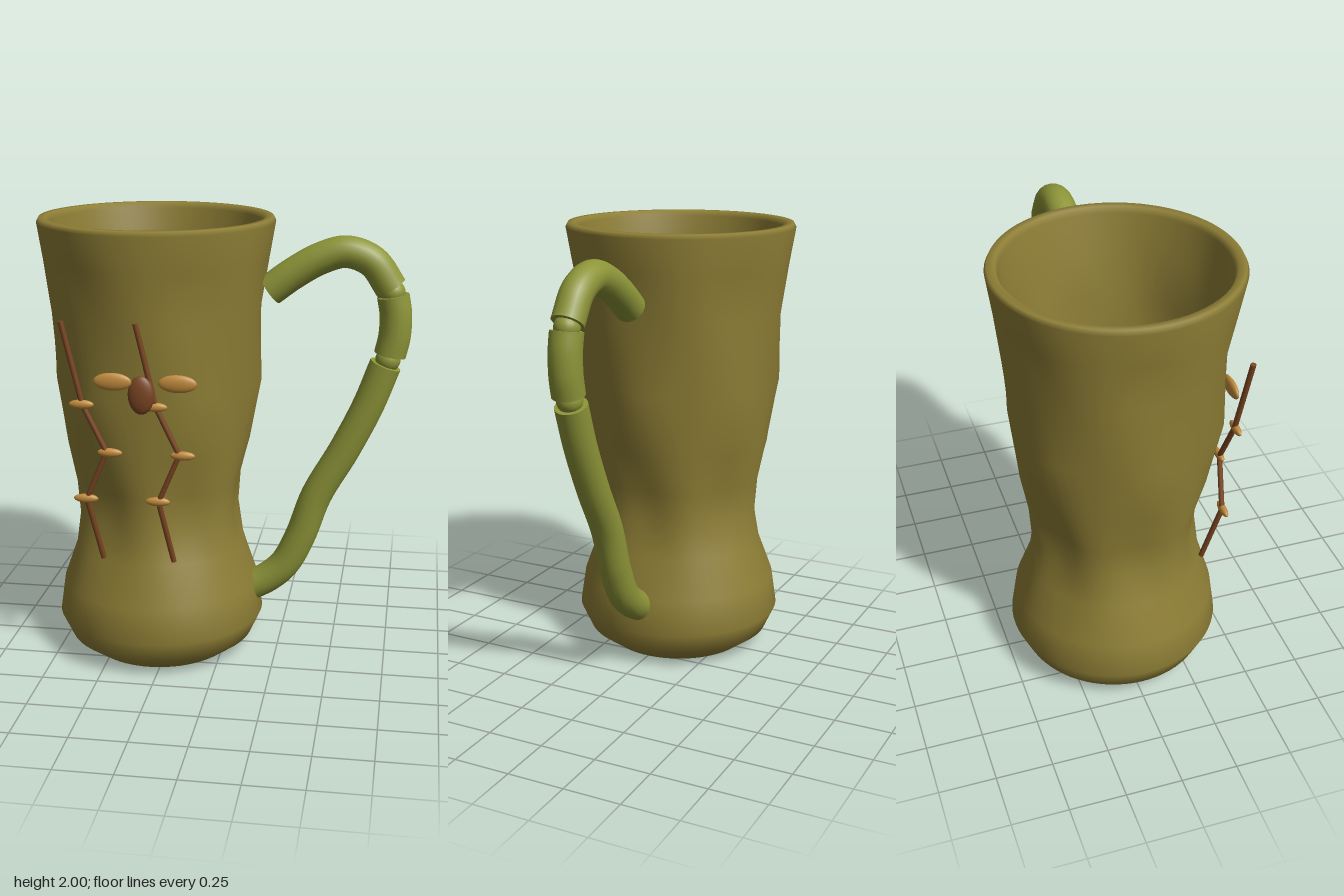
import * as THREE from 'three';
import { mergeVertices } from 'three/addons/utils/BufferGeometryUtils.js';

const V = (x, y, z = 0) => new THREE.Vector3(x, y, z);
const mat = (name, color) => {
  const m = new THREE.MeshStandardMaterial({ color });
  m.name = name;
  return m;
};

export function createModel() {
  const model = new THREE.Group();
  model.name = 'mug';
  const olive = mat('olive glaze', 0x8f7f36);
  const green = mat('handle green', 0x8d9538);
  const brown = mat('twig brown', 0x7a4522);
  const gold = mat('leaf gold', 0xc08a3c);

  const add = (parent, name, geometry, material) => {
    const mesh = new THREE.Mesh(geometry, material);
    mesh.name = name;
    parent.add(mesh);
    return mesh;
  };
  const ellipsoid = (parent, name, material, pos, size) => {
    const mesh = add(parent, name, new THREE.SphereGeometry(1, 20, 14), material);
    mesh.position.copy(pos);
    mesh.scale.set(...size);
    return mesh;
  };

  // Cup: rows of [radius, height, six-lobed ripple], up the outside and down the inside
  const rows = [
    [0, 0, 0], [0.33, 0, 0], [0.425, 0.07, 0], [0.473, 0.175, 0], [0.45, 0.33, 0],
    [0.388, 0.51, 0.006], [0.36, 0.67, 0.016], [0.372, 0.82, 0.014], [0.414, 1.0, 0.004],
    [0.452, 1.28, -0.012], [0.463, 1.6, 0.011], [0.495, 1.82, 0.003], [0.52, 1.98, 0],
    [0.51, 2.0, 0], [0.478, 2.0, 0], [0.465, 1.975, 0],
    [0.44, 1.8, 0.003], [0.408, 1.6, 0.011], [0.397, 1.28, -0.012], [0.36, 1.0, 0.004],
    [0.318, 0.82, 0.014], [0.3, 0.67, 0.019], [0.33, 0.51, 0.008], [0.39, 0.33, 0],
    [0.4, 0.2, 0], [0.33, 0.1, 0], [0, 0.08, 0],
  ];
  const segments = 72;
  let cup = new THREE.LatheGeometry(rows.map(([r, y]) => new THREE.Vector2(r, y)), segments);
  const p = cup.attributes.position;
  for (let i = 0; i <= segments; i++) {
    const a = ((i % segments) / segments) * Math.PI * 2;
    rows.forEach(([r, y, ripple], j) => {
      const R = r + ripple * Math.cos(6 * a);
      p.setXYZ(i * rows.length + j, R * Math.sin(a), y, R * Math.cos(a));
    });
  }
  cup.deleteAttribute('uv');
  cup.deleteAttribute('normal');
  cup = mergeVertices(cup);
  cup.computeVertexNormals();
  add(model, 'cup', cup, olive).position.x = -0.3;

  // Handle: three cane lengths with pinched joints
  const handle = new THREE.Group();
  handle.name = 'handle';
  model.add(handle);
  const cane = (name, points) => {
    const curve = new THREE.CatmullRomCurve3(points);
    add(handle, name, new THREE.TubeGeometry(curve, 40, 0.07, 20), green);
    for (const t of [0, 1]) {
      const cap = add(handle, name + 'End', new THREE.CircleGeometry(0.07, 20), green);
      const end = curve.getPointAt(t);
      cap.position.copy(end);
      cap.lookAt(end.clone().addScaledVector(curve.getTangentAt(t), t ? 1 : -1));
    }
  };
  cane('upperCane', [V(0.2, 1.685), V(0.3, 1.76), V(0.42, 1.83), V(0.53, 1.86), V(0.64, 1.82), V(0.725, 1.705)]);
  cane('middleCane', [V(0.733, 1.675), V(0.746, 1.6), V(0.745, 1.5), V(0.728, 1.415)]);
  cane('lowerCane', [V(0.71, 1.37), V(0.64, 1.18), V(0.54, 0.97), V(0.42, 0.75), V(0.35, 0.55),
    V(0.28, 0.41), V(0.2, 0.335), V(0.13, 0.295)]);
  for (const [x, y] of [[0.73, 1.69], [0.72, 1.392]])
    ellipsoid(handle, 'caneJoint', green, V(x, y), [0.055, 0.055, 0.055]);

  // Two zigzag twigs with a small leaf at every bend
  const path = [V(-0.615, 1.62, 0.475), V(-0.54, 1.26, 0.448), V(-0.445, 1.05, 0.432),
    V(-0.54, 0.83, 0.418), V(-0.488, 0.535, 0.356)];
  for (const dx of [0, 0.315]) {
    const twig = new THREE.Group();
    twig.name = 'twig';
    twig.position.x = dx;
    model.add(twig);
    for (let i = 0; i < path.length - 1; i++) {
      const d = path[i].clone().sub(path[i + 1]);
      const stem = add(twig, 'stem', new THREE.CylinderGeometry(0.012, 0.012, d.length(), 10), brown);
      stem.position.copy(path[i]).add(path[i + 1]).multiplyScalar(0.5);
      stem.quaternion.setFromUnitVectors(V(0, 1, 0), d.normalize());
    }
    [[-0.543, 1.262, 0.452], [-0.43, 1.048, 0.434], [-0.543, 0.832, 0.42]].forEach((c) =>
      ellipsoid(twig, 'leaf', gold, V(...c), [0.054, 0.02, 0.016]));
  }

  // Winged insect
  const insect = new THREE.Group();
  insect.name = 'insect';
  model.add(insect);
  ellipsoid(insect, 'body', brown, V(-0.283, 1.315, 0.468), [0.056, 0.083, 0.025]);
  for (const x of [-0.4, -0.125])
    ellipsoid(insect, 'wing', gold, V(x, 1.373, 0.482), [0.082, 0.038, 0.018]);

  return model;
}
